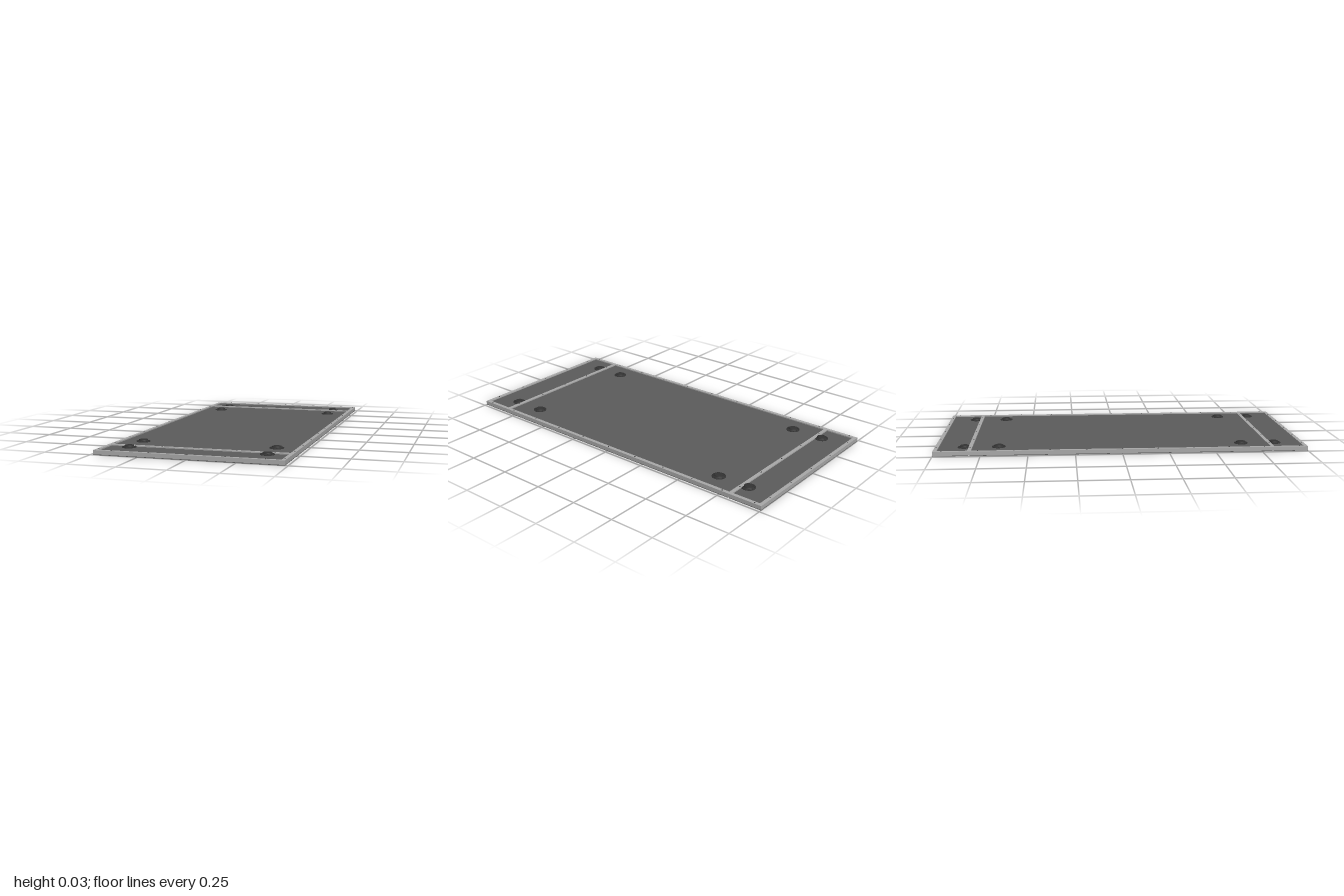
import * as THREE from 'three';

const W = 0.485, L = 1, BAR = 0.02;      // half width, half length, frame bar width
const BASE = 0.003, DECK = 0.018, TOP = 0.024;
const CROSS = 0.81;                      // z of the cross bars

const frameMat = new THREE.MeshStandardMaterial({ color: 0xa8a8a8 });
const deckMat = new THREE.MeshStandardMaterial({ color: 0x5c5c5c });
const padMat = new THREE.MeshStandardMaterial({ color: 0x333333 });

// Box given by its limits on each axis
function slab(name, mat, x0, x1, y0, y1, z0, z1) {
  const mesh = new THREE.Mesh(new THREE.BoxGeometry(x1 - x0, y1 - y0, z1 - z0), mat);
  mesh.position.set((x0 + x1) / 2, (y0 + y1) / 2, (z0 + z1) / 2);
  mesh.name = name;
  return mesh;
}

// Round fitting: wide flange, raised cap and a ring of small studs
function createFitting() {
  const fitting = new THREE.Group();
  fitting.name = 'roundFitting';
  const profile = [[0.037, DECK], [0.037, 0.021], [0.0235, 0.0225], [0.0235, 0.029], [0.0215, 0.03], [0, 0.03]]
    .map(([r, y]) => new THREE.Vector2(r, y));
  const body = new THREE.Mesh(new THREE.LatheGeometry(profile, 24), padMat);
  body.name = 'fittingBody';
  fitting.add(body);
  const studGeo = new THREE.CylinderGeometry(0.003, 0.003, 0.003, 8);
  for (let i = 0; i < 10; i++) {
    const a = (i / 10) * Math.PI * 2;
    const stud = new THREE.Mesh(studGeo, padMat);
    stud.name = 'fittingStud';
    stud.position.set(Math.cos(a) * 0.031, 0.0217, Math.sin(a) * 0.031);
    fitting.add(stud);
  }
  return fitting;
}

export function createModel() {
  const model = new THREE.Group();
  model.name = 'panel';

  // Three bays: base plate underneath and recessed deck on top
  const seam = 0.003;
  const bays = [[-L, -CROSS], [-CROSS, CROSS], [CROSS, L]];
  for (const [z0, z1] of bays) {
    const a = z0 === -L ? z0 : z0 + seam;
    const b = z1 === L ? z1 : z1 - seam;
    model.add(slab('basePlate', deckMat, -W, W, 0, BASE, a, b));
    model.add(slab('deck', deckMat, -W + BAR, W - BAR, BASE, DECK,
      z0 + (z0 === -L ? BAR : BAR / 2), z1 - (z1 === L ? BAR : BAR / 2)));
  }

  // Frame: end bars across the full width, side bars and cross bars between
  for (const s of [-1, 1]) {
    const end = s * (L - BAR / 2), side = s * (W - BAR / 2), cross = s * CROSS;
    model.add(slab('endBar', frameMat, -W, W, BASE, TOP, end - BAR / 2, end + BAR / 2));
    model.add(slab('sideBar', frameMat, side - BAR / 2, side + BAR / 2, BASE, TOP, -L + BAR, L - BAR));
    model.add(slab('crossBar', frameMat, -W + BAR, W - BAR, 0.0005, TOP, cross - BAR / 2, cross + BAR / 2));
  }

  // Small rivets along the bars
  const rivetGeo = new THREE.CylinderGeometry(0.003, 0.004, 0.0016, 10);
  const addRivet = (x, z) => {
    const rivet = new THREE.Mesh(rivetGeo, padMat);
    rivet.name = 'rivet';
    rivet.position.set(x, TOP + 0.0008, z);
    model.add(rivet);
  };
  for (const s of [-1, 1]) {
    for (let i = -2; i <= 2; i++) {
      addRivet(i * 0.195, s * (L - BAR / 2));
      addRivet(i * 0.195, s * CROSS);
    }
    for (let i = -5; i <= 5; i++) addRivet(s * (W - BAR / 2), i * 0.191);
  }

  // Round fittings on both sides of each cross bar
  for (const x of [-0.36, 0.36]) {
    for (const z of [-0.843, -0.66, 0.66, 0.843]) {
      const fitting = createFitting();
      fitting.position.set(x, 0, z);
      model.add(fitting);
    }
  }
  return model;
}
